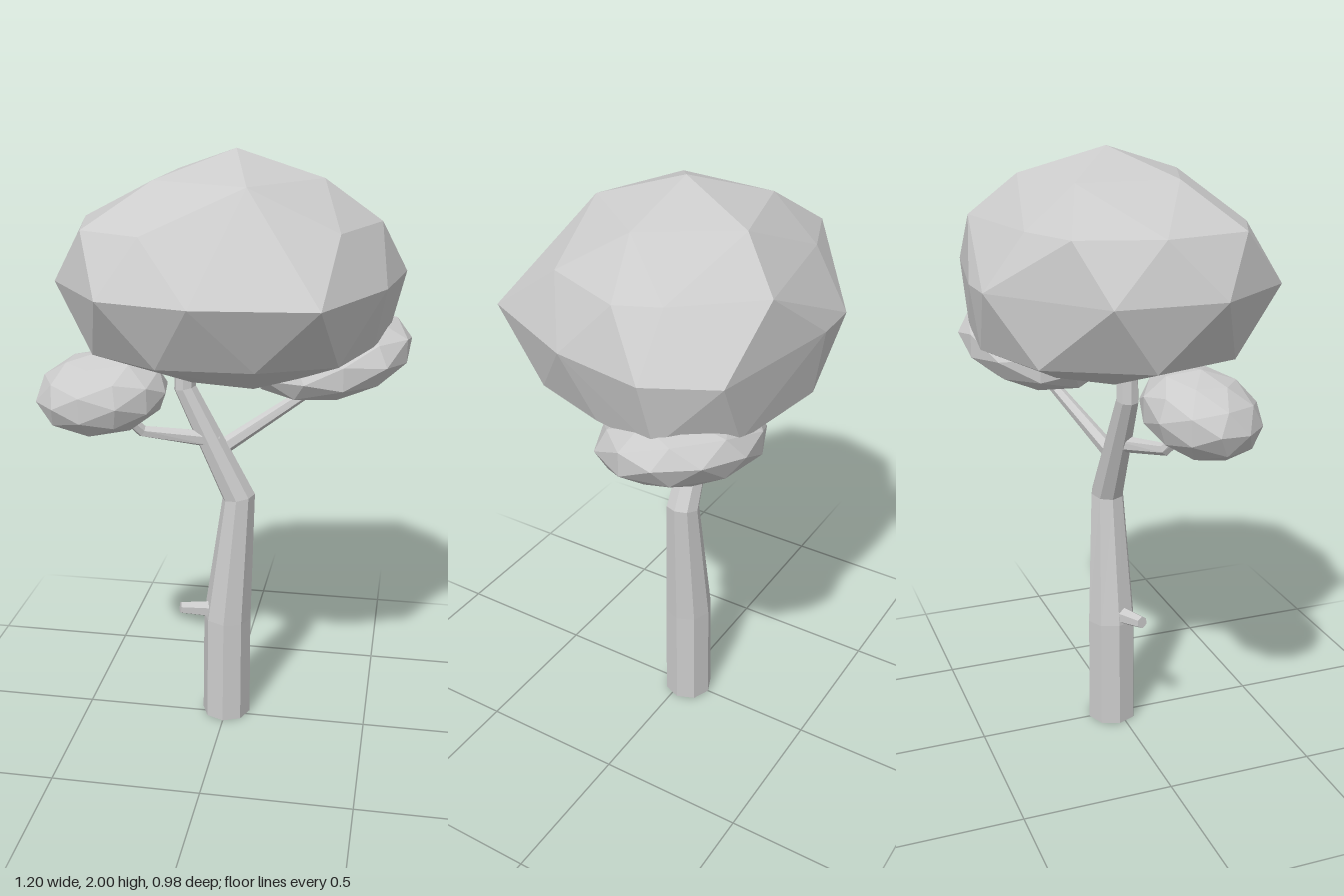
import * as THREE from 'three';
import { ConvexGeometry } from 'three/addons/geometries/ConvexGeometry.js';

const V = (x, y, z) => new THREE.Vector3(x, y, z);
const material = new THREE.MeshStandardMaterial({ color: 0xcccccc, flatShading: true });
const barkMaterial = new THREE.MeshStandardMaterial({ color: 0xcccccc, flatShading: true, side: THREE.DoubleSide });

// Tapered limb: rings along a path of [x, y, z, radius], mitred at the bends, open at the base, capped at the tip
function limb(name, path, sides) {
  const centres = path.map(([x, y, z]) => V(x, y, z));
  const rings = path.map((p, i) => {
    const n = V(0, 0, 0);
    if (i > 0) n.add(centres[i].clone().sub(centres[i - 1]).normalize());
    if (i < path.length - 1) n.add(centres[i + 1].clone().sub(centres[i]).normalize());
    n.normalize();
    const v = V(0, 0, 1).projectOnPlane(n).normalize();
    const u = n.clone().cross(v);
    return Array.from({ length: sides }, (_, j) => {
      const a = (j / sides) * Math.PI * 2;
      return centres[i].clone()
        .addScaledVector(u, p[3] * Math.cos(a))
        .addScaledVector(v, p[3] * Math.sin(a));
    });
  });
  const points = [];
  for (let j = 0; j < sides; j++) {
    const k = (j + 1) % sides;
    for (let i = 0; i < rings.length - 1; i++) {
      const lo = rings[i], hi = rings[i + 1];
      points.push(lo[j], hi[j], lo[k], lo[k], hi[j], hi[k]);
    }
    const tip = rings.at(-1);
    points.push(centres.at(-1), tip[k], tip[j]);
  }
  const geometry = new THREE.BufferGeometry().setFromPoints(points);
  geometry.computeVertexNormals();
  const mesh = new THREE.Mesh(geometry, barkMaterial);
  mesh.name = name;
  return mesh;
}

// Small leaf clump: flattened faceted ball, sheared so that it slopes along x and z
function clump(name, centre, radii, slopeX, slopeZ, turn) {
  const geometry = new THREE.IcosahedronGeometry(1, 1);
  geometry.rotateY(turn);
  geometry.scale(...radii);
  const p = geometry.attributes.position;
  for (let i = 0; i < p.count; i++) {
    p.setY(i, p.getY(i) + slopeX * p.getX(i) + slopeZ * p.getZ(i));
  }
  geometry.computeVertexNormals();
  const mesh = new THREE.Mesh(geometry, material);
  mesh.position.set(...centre);
  mesh.name = name;
  return mesh;
}

// Evenly spaced [x, z] points on an ellipse
function ellipse(count, cx, cz, rx, rz, start) {
  return Array.from({ length: count }, (_, i) => {
    const a = start + (i / count) * Math.PI * 2;
    return [cx + rx * Math.cos(a), cz + rz * Math.sin(a)];
  });
}

// Main crown: faceted hull around irregular outlines stacked by height
function crown() {
  const levels = [
    [2.0, [[0.03, -0.03]]],
    [1.915, ellipse(5, 0.03, -0.03, 0.28, 0.28, 0.05)],
    [1.78, [[-0.2, 0.35], [-0.4, 0.26], [-0.46, -0.02], [-0.38, -0.28], [-0.18, -0.36],
      [0.23, -0.43], [0.43, -0.2], [0.49, -0.07], [0.38, 0.2]]],
    [1.6, [[-0.03, 0.49], [-0.32, 0.42], [-0.52, 0.15], [-0.51, -0.2], [-0.15, -0.485],
      [0, -0.49], [0.46, -0.41], [0.57, -0.2], [0.52, 0.1], [0.35, 0.45]]],
    [1.39, [[-0.15, 0.38], [0.15, 0.37], [0.39, 0.26], [0.48, 0], [0.52, -0.22],
      [0.36, -0.41], [0, -0.46], [-0.3, -0.36], [-0.47, -0.05], [-0.38, 0.24]]],
    [1.28, ellipse(6, 0.05, -0.03, 0.21, 0.2, 0.2)],
  ];
  const points = levels.flatMap(([y, outline]) => outline.map(([x, z]) => V(x, y, z)));
  const mesh = new THREE.Mesh(new ConvexGeometry(points), material);
  mesh.name = 'mainCrown';
  return mesh;
}

export function createModel() {
  const tree = new THREE.Group();
  tree.name = 'tree';

  // Trunk and branches
  tree.add(limb('trunk', [
    [0, 0, -0.025, 0.085],
    [0.003, 0.38, -0.025, 0.083],
    [0.042, 0.84, -0.025, 0.057],
    [-0.14, 1.22, -0.02, 0.038],
    [-0.135, 1.33, -0.02, 0.035],
  ], 8));
  tree.add(limb('rightBranch', [
    [-0.03, 1.04, -0.02, 0.03],
    [-0.27, 1.085, 0.06, 0.021],
    [-0.33, 1.16, 0.1, 0.018],
  ], 6));
  tree.add(limb('leftBranch', [
    [-0.03, 1.0, -0.03, 0.028],
    [0.25, 1.18, -0.15, 0.02],
    [0.31, 1.25, -0.18, 0.018],
  ], 6));
  tree.add(limb('branchStub', [
    [-0.01, 0.405, -0.02, 0.034],
    [-0.155, 0.425, 0.03, 0.021],
  ], 6));

  // Foliage
  tree.add(crown());
  tree.add(clump('rightClump', [-0.385, 1.235, 0.125], [0.22, 0.135, 0.185], 0.08, -0.08, 0.4));
  tree.add(clump('leftClump', [0.325, 1.312, -0.195], [0.28, 0.128, 0.255], 0.15, -0.15, 0.8));
  return tree;
}
